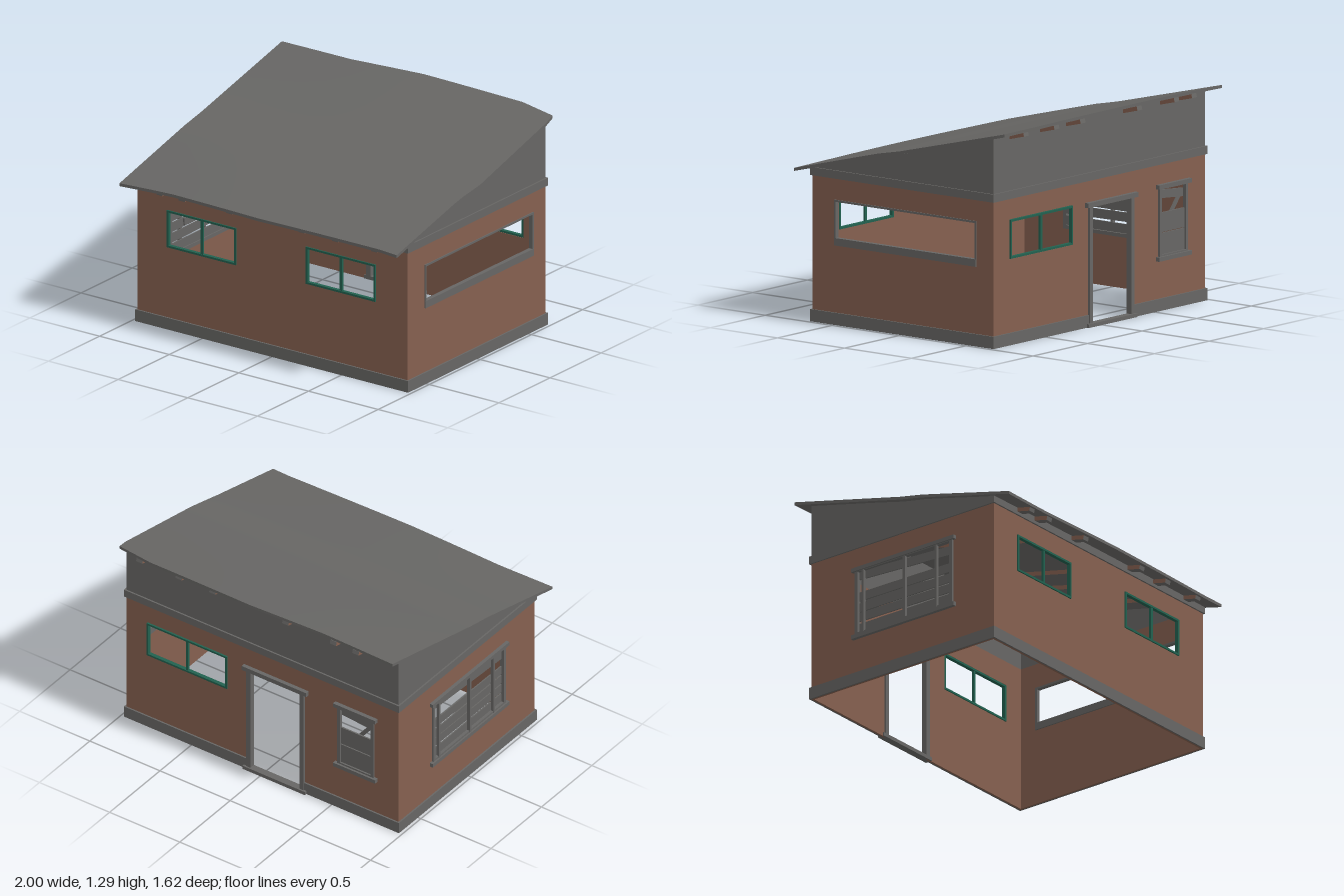
import * as THREE from 'three';

const mat = (name, color) => {
  const m = new THREE.MeshStandardMaterial({ color });
  m.name = name;
  return m;
};

// Piecewise linear lookup through [position, value] pairs
function lookup(points, p) {
  if (p <= points[0][0]) return points[0][1];
  for (let i = 1; i < points.length; i++) {
    const [a, va] = points[i - 1], [b, vb] = points[i];
    if (p <= b) return va + (vb - va) * (p - a) / (b - a);
  }
  return points[points.length - 1][1];
}

const ROOF = [[-0.81, 1.292], [0, 1.085], [0.17, 1.052], [0.81, 0.895]];
const roofY = z => lookup(ROOF, z);
const FRONT_EDGE = [[-1, 0.805], [-0.65, 0.787], [0, 0.805], [0.9, 0.79], [1, 0.798]];
const BACK_EDGE = [[-1, 0.783], [-0.5, 0.777], [0, 0.81], [0.75, 0.8], [1, 0.757]];
const LEFT_EDGE = [[-0.8, 0.955], [-0.68, 0.975], [0, 1], [0.2, 0.985], [0.8, 0.985]];
const T = 0.012; // wall thickness

export function createModel() {
  const model = new THREE.Group();
  model.name = 'shed';
  const brick = mat('brick', 0x85604f);
  const gray = mat('weathered gray', 0x676664);
  const green = mat('window green', 0x22614f);

  // Box given by its limits: u along the wall, y up, w outward
  function box(parent, name, material, u0, u1, y0, y1, w0, w1) {
    const m = new THREE.Mesh(new THREE.BoxGeometry(u1 - u0, y1 - y0, w1 - w0), material);
    m.position.set((u0 + u1) / 2, (y0 + y1) / 2, (w0 + w1) / 2);
    m.name = name;
    parent.add(m);
    return m;
  }

  // Board running from one point to another on a wall
  function board(parent, name, u0, y0, u1, y1, width, w0, w1) {
    const len = Math.hypot(u1 - u0, y1 - y0);
    const m = box(parent, name, gray, -len / 2, len / 2, -width / 2, width / 2, w0, w1);
    m.position.set((u0 + u1) / 2, (y0 + y1) / 2, (w0 + w1) / 2);
    m.rotation.z = Math.atan2(y1 - y0, u1 - u0);
    return m;
  }

  // Four bars around an opening
  function frame(parent, name, material, u0, u1, y0, y1, bar, w0, w1) {
    box(parent, name, material, u0, u0 + bar, y0, y1, w0, w1);
    box(parent, name, material, u1 - bar, u1, y0, y1, w0, w1);
    box(parent, name, material, u0 + bar, u1 - bar, y0, y0 + bar, w0, w1);
    box(parent, name, material, u0 + bar, u1 - bar, y1 - bar, y1, w0, w1);
  }

  function panel(parent, name, material, outline, holes = []) {
    const shape = new THREE.Shape(outline.map(p => new THREE.Vector2(...p)));
    for (const [u0, u1, y0, y1] of holes) {
      shape.holes.push(new THREE.Path([[u0, y0], [u0, y1], [u1, y1], [u1, y0]].map(p => new THREE.Vector2(...p))));
    }
    const m = new THREE.Mesh(new THREE.ExtrudeGeometry(shape, { depth: T, bevelEnabled: false }), material);
    m.position.z = -T;
    m.name = name;
    parent.add(m);
  }

  // Wall group: brick below, gray siding above, trim bands
  function wall(name, u0, u1, turn, x, z, holes, siding, doorGap) {
    const g = new THREE.Group();
    g.name = name;
    g.rotation.y = turn;
    g.position.set(x, 0, z);
    model.add(g);
    const outline = doorGap
      ? [[u0, 0], [doorGap[0], 0], [doorGap[0], doorGap[2]], [doorGap[1], doorGap[2]], [doorGap[1], 0], [u1, 0], [u1, 0.89], [u0, 0.89]]
      : [[u0, 0], [u1, 0], [u1, 0.89], [u0, 0.89]];
    panel(g, 'brickWall', brick, outline, holes);
    panel(g, 'upperSiding', gray, siding);
    box(g, 'trimBand', gray, u0 - 0.01, u1 + 0.01, 0.862, 0.91, 0, 0.01);
    const spans = doorGap ? [[u0 - 0.01, doorGap[0]], [doorGap[1], u1 + 0.01]] : [[u0 - 0.01, u1 + 0.01]];
    for (const [a, b] of spans) box(g, 'baseTrim', gray, a, b, 0, 0.072, 0, 0.01);
    return g;
  }

  function greenWindow(parent, u0, u1) {
    const mid = (u0 + u1) / 2;
    frame(parent, 'greenWindowFrame', green, u0, u1, 0.508, 0.737, 0.012, -0.015, 0.008);
    box(parent, 'greenWindowMullion', green, mid - 0.008, mid + 0.008, 0.52, 0.725, -0.01, 0.004);
  }

  const under = z => roofY(z) - 0.02;
  const flat = (u0, u1, y) => [[u0, 0.89], [u1, 0.89], [u1, y], [u0, y]];

  // Front wall with two sliding windows
  const fronts = [[-0.755, -0.258], [0.243, 0.742]];
  const front = wall('frontWall', -0.97, 0.97, 0, 0, 0.67,
    fronts.map(([a, b]) => [a, b, 0.508, 0.737]), flat(-0.97, 0.97, under(0.67)));
  fronts.forEach(([a, b]) => greenWindow(front, a, b));

  // Back wall (u = -x): sliding window, doorway and boarded sash window
  const back = wall('backWall', -0.97, 0.97, Math.PI, 0, -0.68,
    [[-0.82, -0.248, 0.505, 0.74], [0.555, 0.785, 0.32, 0.725]], flat(-0.97, 0.97, under(-0.68)), [-0.09, 0.29, 0.71]);
  greenWindow(back, -0.82, -0.248);
  for (const u of [-0.105, 0.275]) box(back, 'doorJamb', gray, u, u + 0.03, 0.02, 0.71, -0.02, 0.015);
  box(back, 'doorHeader', gray, -0.13, 0.33, 0.707, 0.735, -0.02, 0.025);
  box(back, 'doorSill', gray, -0.125, 0.32, 0, 0.022, -0.02, 0.025);
  frame(back, 'sashFrame', gray, 0.54, 0.8, 0.31, 0.735, 0.02, -0.012, 0.012);
  box(back, 'sashHeader', gray, 0.52, 0.82, 0.72, 0.745, -0.01, 0.025);
  box(back, 'sashSill', gray, 0.52, 0.82, 0.295, 0.32, -0.01, 0.025);
  box(back, 'sashBoard', gray, 0.556, 0.784, 0.33, 0.455, -0.008, 0.002);
  box(back, 'sashBoard', gray, 0.556, 0.784, 0.46, 0.575, -0.01, 0);
  board(back, 'sashSlantBoard', 0.556, 0.685, 0.784, 0.665, 0.05, -0.02, -0.01);
  board(back, 'sashBrace', 0.775, 0.67, 0.63, 0.49, 0.025, -0.03, -0.02);

  // Sloped siding of the side walls; s turns u into z
  const gable = (u0, u1, s) => [[u0, 0.89], [u1, 0.89], [u1, under(s * u1)],
    ...(s < 0 ? [0, -0.17] : [0.17, 0]).map(u => [u, under(s * u)]), [u0, under(s * u0)]];

  // Left wall (u = -z) with one long opening
  const left = wall('leftWall', -0.67, 0.68, Math.PI / 2, 0.97, 0,
    [[-0.5, 0.55, 0.48, 0.732]], gable(-0.67, 0.68, -1));
  frame(left, 'longWindowFrame', gray, -0.505, 0.555, 0.475, 0.737, 0.012, -0.02, 0.006);
  box(left, 'longWindowSill', gray, -0.505, 0.555, 0.468, 0.512, -0.02, 0.008);

  // Right wall (u = z) with a boarded-up window
  const right = wall('rightWall', -0.68, 0.67, -Math.PI / 2, -0.97, 0,
    [[-0.335, 0.355, 0.31, 0.72]], gable(-0.68, 0.67, 1));
  frame(right, 'boardedWindowFrame', gray, -0.35, 0.37, 0.3, 0.73, 0.022, -0.015, 0.012);
  box(right, 'boardedWindowHeader', gray, -0.37, 0.39, 0.712, 0.735, 0, 0.022);
  box(right, 'boardedWindowSill', gray, -0.37, 0.39, 0.285, 0.31, 0, 0.022);
  for (const u of [-0.29, 0.015, 0.25]) box(right, 'boardedWindowPost', gray, u - 0.008, u + 0.008, 0.3, 0.725, -0.005, 0.015);
  for (let i = 0; i < 4; i++) {
    const y = 0.352 + i * 0.065;
    board(right, 'slat', -0.335, y + (i % 2) * 0.006, 0.355, y, 0.055, -0.012, -0.004);
  }
  board(right, 'slantBoard', -0.335, 0.69, 0.355, 0.655, 0.055, -0.012, -0.004);
  board(right, 'looseBoard', -0.35, 0.548, 0.25, 0.49, 0.045, -0.03, -0.02);

  // Sagging roof sheet with uneven edges
  const roofGeo = new THREE.BoxGeometry(2, 0.018, 2, 16, 1, 20);
  const p = roofGeo.attributes.position;
  for (let i = 0; i < p.count; i++) {
    const s = p.getX(i), t = p.getZ(i);
    const z = t * lookup(t > 0 ? FRONT_EDGE : BACK_EDGE, s);
    const x = s > 0 ? s * lookup(LEFT_EDGE, z) : s;
    p.setXYZ(i, x, roofY(z) - 0.009 + p.getY(i) - 0.008 * s * s * Math.abs(t), z);
  }
  roofGeo.computeVertexNormals();
  const roof = new THREE.Mesh(roofGeo, gray);
  roof.name = 'roof';
  model.add(roof);

  // Rafters: brown sides, gray edges
  const rafterMats = [brick, brick, gray, gray, gray, gray];
  for (const x of [-0.74, -0.58, -0.24, 0.28, 0.52, 0.8]) {
    for (const [z0, z1] of [[-0.785, 0], [0, 0.77]]) {
      const dy = roofY(z1) - roofY(z0);
      const r = new THREE.Mesh(new THREE.BoxGeometry(0.045, 0.025, Math.hypot(z1 - z0, dy)), rafterMats);
      r.position.set(x, (roofY(z0) + roofY(z1)) / 2 - 0.033, (z0 + z1) / 2);
      r.rotation.x = -Math.atan2(dy, z1 - z0);
      r.name = 'rafter';
      model.add(r);
    }
  }
  return model;
}
